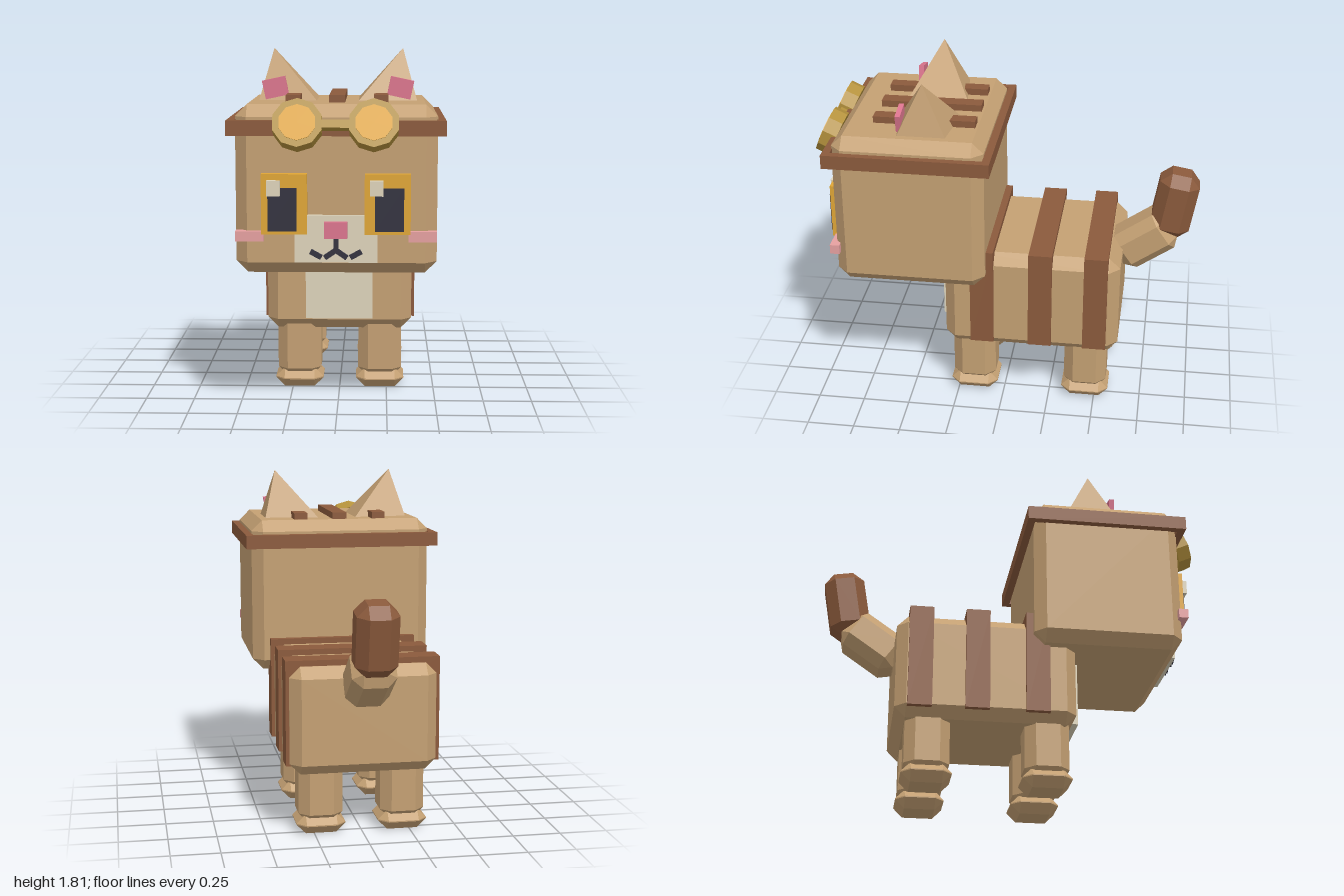
import * as THREE from 'three';
import { ConvexGeometry } from 'three/addons/geometries/ConvexGeometry.js';

const mat = (name, color) => {
  const m = new THREE.MeshStandardMaterial({ color });
  m.name = name;
  return m;
};

export function createModel() {
  const model = new THREE.Group();
  model.name = 'blockCat';

  const tan = mat('tan fur', 0xc4a073);
  const brown = mat('brown stripe', 0x8b5a3c);
  const cream = mat('cream', 0xded4bb);
  const amber = mat('amber', 0xe0a636);
  const gold = mat('goggle gold', 0xb4913c);
  const pink = mat('pink', 0xdc758e);
  const blush = mat('blush', 0xe6a0a0);
  const dark = mat('dark', 0x33323f);

  function add(name, geometry, material, x, y, z, parent = model) {
    const mesh = new THREE.Mesh(geometry, material);
    mesh.name = name;
    mesh.position.set(x, y, z);
    parent.add(mesh);
    return mesh;
  }

  // plain box given by its limits on each axis
  function box(name, material, [x0, x1], [y0, y1], [z0, z1], parent = model) {
    return add(name, new THREE.BoxGeometry(x1 - x0, y1 - y0, z1 - z0), material,
      (x0 + x1) / 2, (y0 + y1) / 2, (z0 + z1) / 2, parent);
  }

  // box with all edges and corners chamfered by c
  function chamferBox(w, h, d, c) {
    const half = [w / 2, h / 2, d / 2];
    const points = [];
    for (const sx of [-1, 1]) for (const sy of [-1, 1]) for (const sz of [-1, 1]) {
      for (let axis = 0; axis < 3; axis++) {
        const p = half.map((v, i) => (i === axis ? v : v - c));
        points.push(new THREE.Vector3(sx * p[0], sy * p[1], sz * p[2]));
      }
    }
    return new ConvexGeometry(points);
  }

  // body, chest patch and the bands around it
  add('body', chamferBox(0.76, 0.56, 0.93, 0.056), tan, 0, 0.61, -0.155);
  box('chestPatch', cream, [-0.175, 0.175], [0.4, 0.78], [0.28, 0.348]);
  for (const z of [0.105, -0.205, -0.497]) {
    box('bodyStripe', brown, [-0.398, 0.398], [0.374, 0.92], [z - 0.062, z + 0.062]);
  }

  // legs and paws
  const legGeometry = chamferBox(0.23, 0.36, 0.23, 0.052);
  const pawGeometry = chamferBox(0.255, 0.102, 0.255, 0.048);
  for (const x of [-0.214, 0.214]) {
    for (const [z, end] of [[0.163, 'front'], [-0.447, 'rear']]) {
      add(end + 'Leg', legGeometry, tan, x, 0.235, z);
      add(end + 'Paw', pawGeometry, tan, x, 0.054, z);
    }
  }

  // tail, bending upwards
  add('tailBase', chamferBox(0.226, 0.34, 0.226, 0.052), tan, 0, 0.864, -0.73).rotation.x = -0.96;
  add('tailTip', chamferBox(0.212, 0.365, 0.212, 0.055), brown, 0, 1.082, -0.879).rotation.x = -0.17;

  // head with the hollow band around it
  const head = new THREE.Group();
  head.name = 'head';
  model.add(head);
  add('skull', chamferBox(0.976, 0.82, 0.78, 0.058), tan, 0, 1.15, 0.47, head);
  const bandY = [1.415, 1.488];
  box('bandFront', brown, [-0.525, 0.525], bandY, [0.853, 0.893], head);
  box('bandBack', brown, [-0.525, 0.525], bandY, [0.04, 0.08], head);
  box('bandRight', brown, [-0.525, -0.485], bandY, [0.08, 0.853], head);
  box('bandLeft', brown, [0.485, 0.525], bandY, [0.08, 0.853], head);
  for (const x of [-0.215, 0, 0.215]) {
    const w = x === 0 ? 0.039 : 0.036;
    box('headStripe', brown, [x - w, x + w], [1.54, 1.595], [0.15, 0.68], head);
  }

  // ears: four-sided pyramids leaning outwards
  const earGeometry = new THREE.ConeGeometry(0.17 * Math.SQRT2, 0.32, 4, 1).toNonIndexed();
  earGeometry.rotateY(Math.PI / 4);
  earGeometry.translate(0, -0.16, 0);
  earGeometry.computeVertexNormals();
  for (const s of [-1, 1]) {
    add('ear', earGeometry, tan, s * 0.325, 1.815, 0.405, head).rotation.z = -s * 0.225;
    add('innerEar', new THREE.BoxGeometry(0.118, 0.094, 0.026), pink,
      s * 0.312, 1.622, 0.524, head).rotation.z = -s * 0.21;
  }

  // eyes and cheeks
  for (const s of [-1, 1]) {
    const span = (a, b) => (s > 0 ? [a, b] : [-b, -a]);
    box('eyeFrame', amber, span(0.138, 0.358), [0.943, 1.234], [0.85, 0.902], head);
    box('pupil', dark, span(0.188, 0.326), [0.96, 1.167], [0.89, 0.914], head);
    const glintX = s > 0 ? 0.163 : -0.33;
    box('eyeGlint', cream, [glintX, glintX + 0.064], [1.132, 1.205], [0.9, 0.932], head);
    box('cheek', blush, span(0.349, 0.485), [0.905, 0.955], [0.837, 0.887], head);
  }

  // muzzle, nose and mouth
  box('muzzle', cream, [-0.2, 0.2], [0.803, 1.033], [0.85, 0.882], head);
  box('nose', pink, [-0.055, 0.055], [0.925, 1.005], [0.87, 0.912], head);
  box('mouthStem', dark, [-0.012, 0.012], [0.853, 0.925], [0.875, 0.902], head);
  for (const s of [-1, 1]) {
    add('mouthInner', new THREE.BoxGeometry(0.064, 0.024, 0.027), dark,
      s * 0.027, 0.847, 0.8885, head).rotation.z = -s * 0.6;
    add('mouthOuter', new THREE.BoxGeometry(0.06, 0.024, 0.027), dark,
      s * 0.096, 0.845, 0.8885, head).rotation.z = s * 0.5;
  }

  // goggles, tilted up
  const goggles = new THREE.Group();
  goggles.name = 'goggles';
  goggles.position.set(0, 1.47, 0.916);
  goggles.rotation.x = -0.43;
  head.add(goggles);
  const disc = (r, h) => {
    const g = new THREE.CylinderGeometry(r, r, h, 10).toNonIndexed();
    g.rotateX(Math.PI / 2);
    g.computeVertexNormals();
    return g;
  };
  for (const x of [-0.181, 0.181]) {
    add('goggleRim', disc(0.122, 0.076), gold, x, 0, 0, goggles);
    add('goggleLens', disc(0.09, 0.008), amber, x, 0, 0.038, goggles);
  }
  add('goggleBridge', new THREE.BoxGeometry(0.15, 0.042, 0.045), gold, 0, 0, 0, goggles);

  return model;
}
